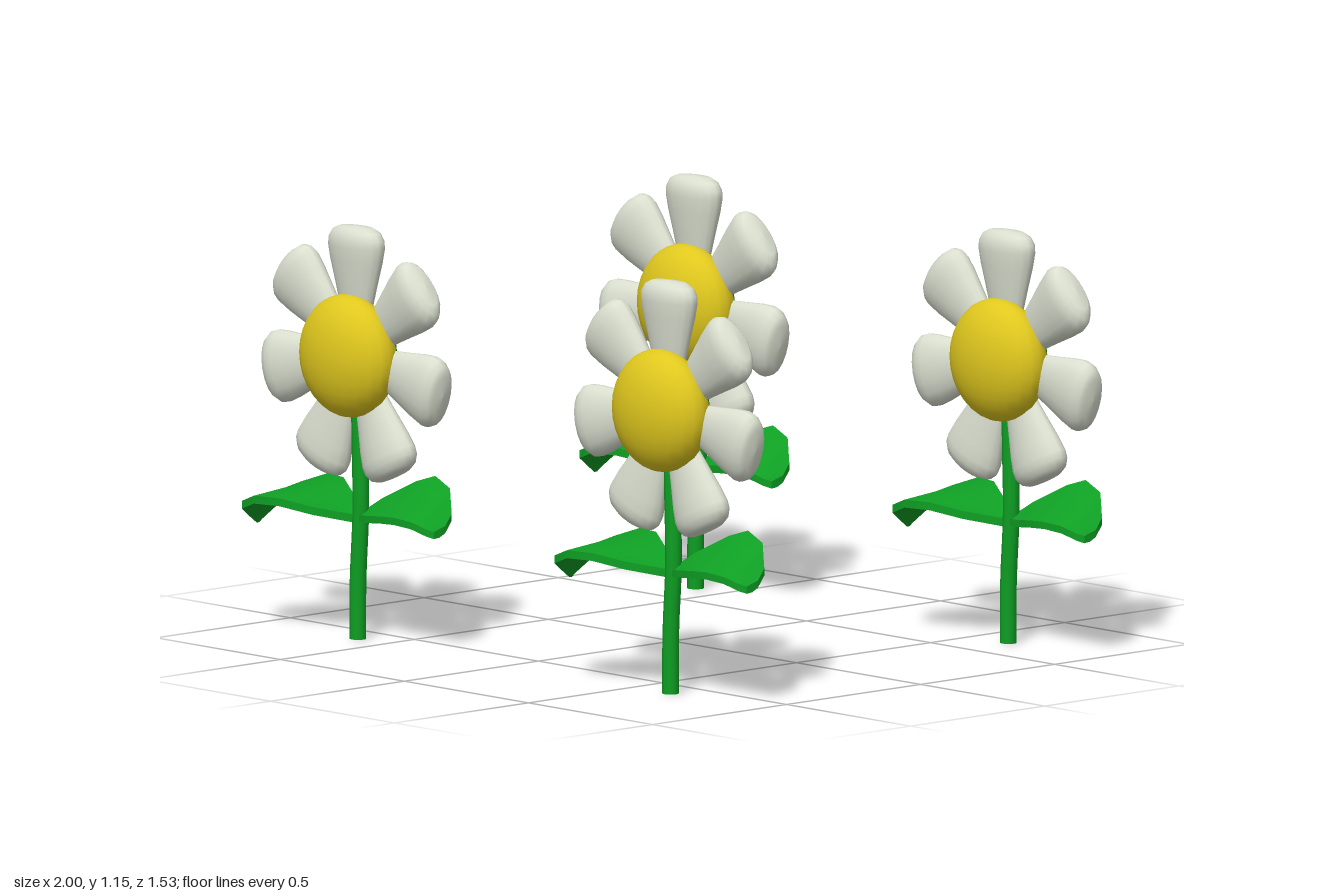
import * as THREE from 'three';
import { toCreasedNormals } from 'three/addons/utils/BufferGeometryUtils.js';

const mat = (name, color) => new THREE.MeshStandardMaterial({ name, color });

// Leaf from cross-sections [x, backZ, frontZ, backY, frontY]; flat blade with a thin rim
function leafGeometry(stations, thickness) {
  const pos = [], index = [];
  for (const [x, zb, zf, yb, yf] of stations) {
    const zm = (zb + zf) / 2, ym = (yb + yf) / 2 - 0.004;
    pos.push(x, yb, zb, x, ym, zm, x, yf, zf);
    pos.push(x, yf - thickness, zf, x, ym - thickness, zm, x, yb - thickness, zb);
  }
  const dir = Math.sign(stations.at(-1)[0]);
  const tri = (a, b, c) => (dir > 0 ? index.push(a, b, c) : index.push(a, c, b));
  const n = stations.length;
  for (let i = 0; i < n - 1; i++) {
    for (let j = 0; j < 6; j++) {
      const a = i * 6 + j, b = i * 6 + (j + 1) % 6;
      tri(a, b, b + 6);
      tri(a, b + 6, a + 6);
    }
  }
  // End caps
  for (let j = 1; j < 5; j++) {
    tri(0, j + 1, j);
    const e = (n - 1) * 6;
    tri(e, e + j, e + j + 1);
  }
  const g = new THREE.BufferGeometry();
  g.setAttribute('position', new THREE.Float32BufferAttribute(pos, 3));
  g.setIndex(index);
  return toCreasedNormals(g, 0.6);
}

export function createModel() {
  const green = mat('leafGreen', 0x0f9f24);
  const yellow = mat('centreYellow', 0xe0c81e);
  const white = mat('petalWhite', 0xdbe0d0);

  // Petal: rounded wedge, widest near the tip, flattened front to back
  const petalProfile = [
    [0, 0.07], [0.04, 0.08], [0.06, 0.14], [0.076, 0.2], [0.093, 0.26], [0.101, 0.3],
    [0.099, 0.322], [0.086, 0.342], [0.062, 0.353], [0, 0.357],
  ].map(([r, y]) => new THREE.Vector2(r, y));
  const petalGeo = new THREE.LatheGeometry(petalProfile, 18).scale(1, 1, 0.5);

  // Flower centre and the green cup behind it
  const centreGeo = new THREE.SphereGeometry(0.17, 22, 16).scale(1, 1, 0.55);
  const cupGeo = new THREE.SphereGeometry(0.16, 22, 8, 0, Math.PI * 2, 0, Math.PI / 2)
    .rotateX(-Math.PI / 2).scale(1, 1, 0.56);

  // Gently bent stem
  const stemCurve = new THREE.CatmullRomCurve3([
    new THREE.Vector3(-0.004, 0, 0), new THREE.Vector3(-0.003, 0.17, 0),
    new THREE.Vector3(0.008, 0.36, 0), new THREE.Vector3(0.004, 0.55, 0),
    new THREE.Vector3(0, 0.76, 0),
  ]);
  const stemGeo = new THREE.TubeGeometry(stemCurve, 14, 0.023, 10);
  const footGeo = new THREE.CircleGeometry(0.023, 10).rotateX(Math.PI / 2).translate(-0.004, 0, 0);

  const rightLeafGeo = leafGeometry([
    [-0.0, -0.012, 0.012, 0.35, 0.345], [-0.09, -0.06, 0.09, 0.39, 0.365],
    [-0.17, -0.1, 0.14, 0.417, 0.385], [-0.25, -0.115, 0.16, 0.417, 0.385],
    [-0.32, -0.085, 0.14, 0.39, 0.36], [-0.37, -0.03, 0.065, 0.34, 0.325],
    [-0.39, 0, 0.02, 0.308, 0.3],
  ], 0.022);
  const leftLeafGeo = leafGeometry([
    [0.0, -0.012, 0.012, 0.352, 0.348], [0.06, -0.035, 0.03, 0.395, 0.352],
    [0.14, -0.085, 0.05, 0.445, 0.362], [0.2, -0.1, 0.055, 0.465, 0.366],
    [0.27, -0.09, 0.055, 0.44, 0.362], [0.32, -0.05, 0.045, 0.38, 0.347],
    [0.335, -0.012, 0.03, 0.352, 0.34],
  ], 0.02);

  function makeFlower() {
    const flower = new THREE.Group();
    flower.name = 'flower';
    const add = (name, geo, material, x = 0, y = 0, z = 0) => {
      const m = new THREE.Mesh(geo, material);
      m.name = name;
      m.position.set(x, y, z);
      flower.add(m);
      return m;
    };
    add('stem', stemGeo, green);
    add('stemFoot', footGeo, green);
    add('leftLeaf', leftLeafGeo, green);
    add('rightLeaf', rightLeafGeo, green);
    add('flowerCentre', centreGeo, yellow, 0, 0.79, 0.04);
    add('flowerCup', cupGeo, green, 0, 0.79, 0.028);
    for (let i = 0; i < 7; i++) {
      add('petal', petalGeo, white, -0.004, 0.79, 0.005).rotation.z = (i * Math.PI * 2) / 7;
    }
    return flower;
  }

  // Four flowers at the corners of a square
  const model = new THREE.Group();
  model.name = 'flowers';
  for (const x of [-0.61, 0.65]) {
    for (const z of [0.605, -0.655]) {
      const f = makeFlower();
      f.position.set(x, 0, z);
      model.add(f);
    }
  }
  return model;
}
